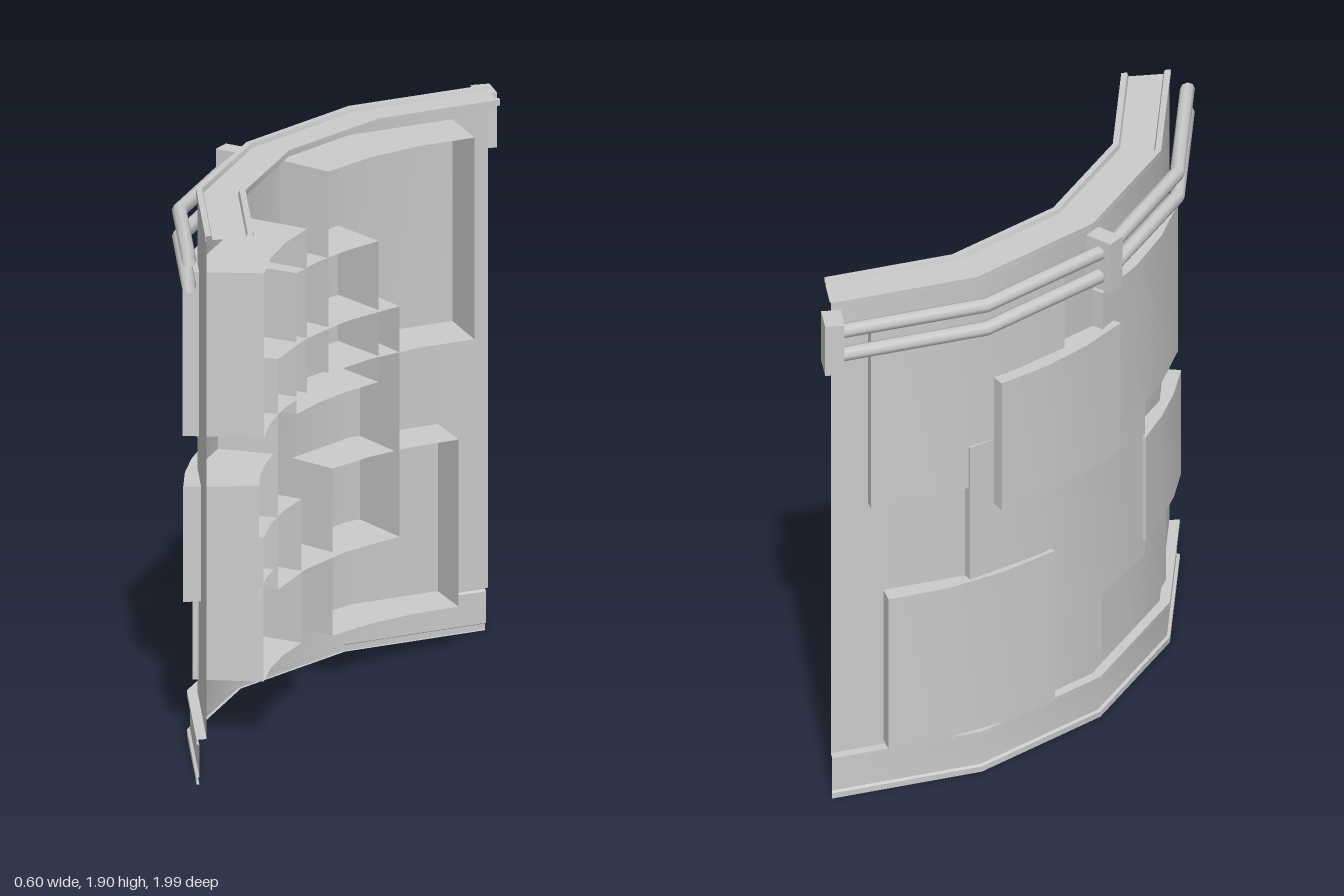
import * as THREE from 'three';
import { toCreasedNormals } from 'three/addons/utils/BufferGeometryUtils.js';

const material = new THREE.MeshStandardMaterial({ color: 0xcccccc, side: THREE.DoubleSide });
const rad = THREE.MathUtils.degToRad;

// Sweeps a [radius, y] profile about the y axis; angle 0 points to -x, positive towards +z
function sweep(profile, from, to, segments) {
  const points = profile.map(([r, y]) => new THREE.Vector2(r, y));
  const geometry = new THREE.LatheGeometry(points, segments, rad(270 + from), rad(to - from));
  return toCreasedNormals(geometry, rad(35));
}

function addMesh(parent, name, geometry) {
  const mesh = new THREE.Mesh(geometry, material);
  mesh.name = name;
  parent.add(mesh);
  return mesh;
}

// Curved plate with four deep side walls, open towards the axis
function makePanel(name, [from, to, y0, y1, inner, outer]) {
  const panel = new THREE.Group();
  panel.name = name;
  addMesh(panel, 'panelShell', sweep([[inner, y0], [outer, y0], [outer, y1], [inner, y1]], from, to, 3));
  for (const angle of [from, to]) {
    const end = new THREE.PlaneGeometry(outer - inner, y1 - y0);
    end.translate(-(inner + outer) / 2, (y0 + y1) / 2, 0);
    end.rotateY(rad(angle));
    addMesh(panel, 'panelEnd', end);
  }
  return panel;
}

export function createModel() {
  const model = new THREE.Group();
  model.name = 'curvedWall';

  // Everything is built round the arc's axis
  const arc = new THREE.Group();
  arc.name = 'arc';
  arc.position.set(1.1, 0, 0.02);
  model.add(arc);

  // Wall sheet, lipped skirting and lipped top ledge
  addMesh(arc, 'wall', sweep([[1.3, 0.155], [1.3, 1.885]], -45, 45, 4));
  addMesh(arc, 'skirting', sweep([
    [1.325, 0], [1.335, 0], [1.335, 0.02], [1.325, 0.025], [1.325, 0.135],
    [1.335, 0.14], [1.335, 0.155], [1.3, 0.155],
  ], -45, 45, 4));
  addMesh(arc, 'topLedge', sweep([
    [1.3, 1.88], [1.305, 1.88], [1.305, 1.9], [1.285, 1.9], [1.28, 1.885],
    [1.165, 1.885], [1.16, 1.9], [1.14, 1.9], [1.14, 1.88],
  ], -45, 45, 4));

  // Panels: start angle, end angle, bottom, top, inner radius, outer radius
  const panels = [
    [0.2, 26.7, 1.07, 1.64, 1.07, 1.34],
    [12.5, 31.3, 0.53, 0.93, 1.085, 1.335],
    [1.8, 24.7, 0.21, 0.71, 1.075, 1.31],
    [-24.2, 13.2, 0.46, 1.26, 1.07, 1.325],
    [-20, 3.1, 1.01, 1.5, 1.08, 1.365],
    [-39.3, -7, 1.1, 1.8, 1.075, 1.32],
    [-36.9, -9.8, 0.17, 0.75, 1.1, 1.34],
  ];
  panels.forEach((spec, i) => arc.add(makePanel(`panel${i + 1}`, spec)));

  // Two pipe rails along the outer side
  for (const y of [1.73, 1.82]) {
    const rail = new THREE.TorusGeometry(1.36, 0.025, 8, 4, Math.PI / 2);
    rail.rotateZ(rad(135));
    rail.rotateX(Math.PI / 2);
    addMesh(arc, 'rail', rail).position.y = y;
  }

  // Brackets holding the rails, at the middle and at one end
  for (const angle of [0, -45]) {
    const bracket = new THREE.BoxGeometry(0.1, 0.19, 0.065);
    bracket.translate(-1.352, 1.775, 0);
    bracket.rotateY(rad(angle));
    addMesh(arc, 'railBracket', bracket);
  }

  return model;
}
